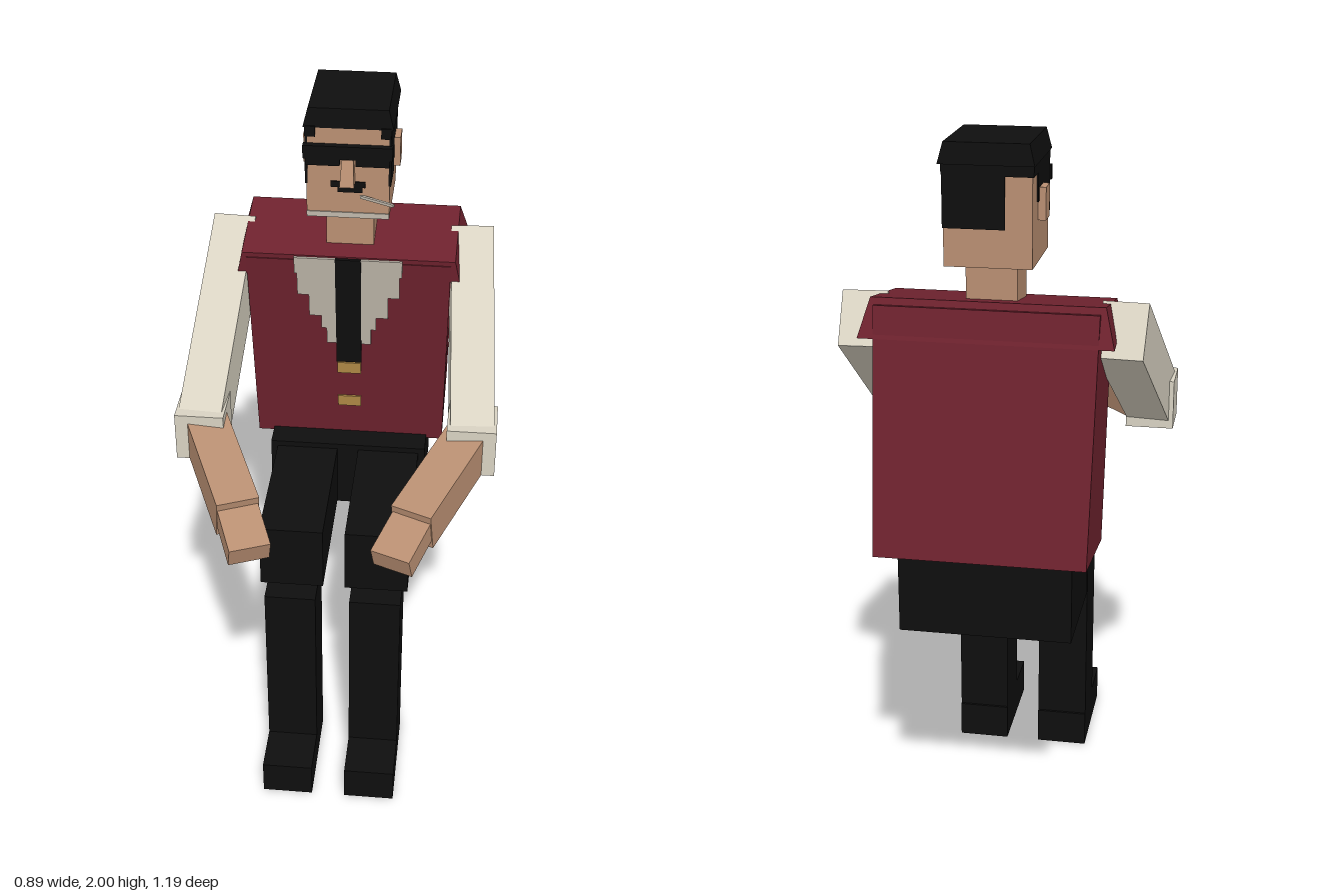
import * as THREE from 'three';

const mat = (name, color) => {
  const m = new THREE.MeshStandardMaterial({ color });
  m.name = name;
  return m;
};

export function createModel() {
  const red = mat('vestRed', 0x6e222e);
  const black = mat('black', 0x0e0e0e);
  const skin = mat('skin', 0xb98f72);
  const cream = mat('sleeveCream', 0xd8d2c2);
  const shirtGrey = mat('shirtGrey', 0xc0b8ab);
  const gold = mat('gold', 0xb58d48);

  const model = new THREE.Group();
  model.name = 'seatedFigure';

  const add = (name, geo, material, parent = model) => {
    const mesh = new THREE.Mesh(geo, material);
    mesh.name = name;
    parent.add(mesh);
    return mesh;
  };

  // Axis-aligned box given by its limits
  const block = (name, material, [x0, x1], [y0, y1], [z0, z1], parent) => {
    const mesh = add(name, new THREE.BoxGeometry(Math.abs(x1 - x0), y1 - y0, z1 - z0), material, parent);
    mesh.position.set((x0 + x1) / 2, (y0 + y1) / 2, (z0 + z1) / 2);
    return mesh;
  };

  // Tapered block: each edge is [half width, y, z]
  const wedge = (name, material, bottomFront, bottomBack, topFront, topBack) => {
    const geo = new THREE.BoxGeometry(2, 2, 2);
    const p = geo.attributes.position;
    for (let i = 0; i < p.count; i++) {
      const front = p.getZ(i) > 0;
      const edge = p.getY(i) > 0 ? (front ? topFront : topBack) : (front ? bottomFront : bottomBack);
      p.setXYZ(i, Math.sign(p.getX(i)) * edge[0], edge[1], edge[2]);
    }
    geo.computeVertexNormals();
    return add(name, geo, material);
  };

  // Box running between two points
  const limb = (name, material, from, to, width, height) => {
    const a = new THREE.Vector3(...from), b = new THREE.Vector3(...to);
    const mesh = add(name, new THREE.BoxGeometry(width, height, a.distanceTo(b)), material);
    mesh.position.copy(a).add(b).multiplyScalar(0.5);
    mesh.lookAt(b);
    return mesh;
  };

  // Torso and shoulder yoke, leaning back
  wedge('vest', red, [0.285, 0.88, -0.276], [0.285, 0.925, -0.594], [0.293, 1.535, -0.187], [0.295, 1.58, -0.476]);
  wedge('shoulderYoke', red, [0.32, 1.48, -0.196], [0.335, 1.495, -0.494], [0.305, 1.55, -0.188], [0.307, 1.595, -0.45]);

  // Shirt, tie and buttons on the sloping chest
  const chest = new THREE.Group();
  chest.name = 'chestDetails';
  chest.position.set(0, 1.545, -0.184);
  chest.rotation.x = Math.atan(0.1364);
  model.add(chest);
  const shirtSteps = [[0.155, 0, 0.055], [0.148, 0.055, 0.13], [0.115, 0.13, 0.205], [0.08, 0.205, 0.25], [0.065, 0.25, 0.305]];
  for (const s of [-1, 1]) {
    for (const [w, top, bottom] of shirtSteps) {
      block('shirtFront', shirtGrey, [s * 0.03, s * w], [-bottom, -top], [-0.004, 0.003], chest);
    }
  }
  block('tie', black, [-0.037, 0.037], [-0.375, 0], [-0.004, 0.005], chest);
  block('upperButton', gold, [-0.035, 0.035], [-0.42, -0.38], [-0.004, 0.004], chest);
  block('lowerButton', gold, [-0.035, 0.035], [-0.55, -0.512], [-0.004, 0.004], chest);

  // Hips
  block('hips', black, [-0.237, 0.237], [0.675, 0.893], [-0.515, -0.195]);

  for (const s of [-1, 1]) {
    // Legs
    block('thigh', black, [s * 0.032, s * 0.217], [0.677, 0.876], [-0.39, 0.225]);
    block('shin', black, [s * 0.05, s * 0.2], [0.1, 0.662], [0.105, 0.272]);
    block('shoe', black, [s * 0.05, s * 0.2], [0, 0.107], [0.098, 0.415]);

    // Arms
    limb('sleeve', cream, [s * 0.344, 1.52, -0.392], [s * 0.377, 1.172, 0.132], 0.122, 0.155);
    block('cuff', cream, [s * 0.31, s * 0.447], [1.097, 1.24], [0.065, 0.2]);
    limb('forearm', skin, [s * 0.377, 1.165, 0.13], [s * 0.235, 1.1, 0.455], 0.118, 0.115);
    limb('hand', skin, [s * 0.237, 1.105, 0.45], [s * 0.188, 1.062, 0.568], 0.113, 0.064);

    // Ears
    block('ear', skin, [s * 0.11, s * 0.136], [1.79, 1.875], [-0.352, -0.293]);

    // Hair on the sides of the head
    const side = [s * 0.112, s * 0.119];
    block('sideburn', black, side, [1.78, 1.95], [-0.29, -0.18]);
    block('sideHair', black, side, [1.87, 1.95], [-0.37, -0.29]);
    block('hairBehindEar', black, side, [1.84, 1.87], [-0.37, -0.35]);
    block('upperSideHair', black, side, [1.915, 1.95], [-0.437, -0.37]);
    block('templeHair', black, [s * 0.09, s * 0.117], [1.92, 1.95], [-0.184, -0.177]);
  }

  // Neck and head
  block('neck', skin, [-0.068, 0.068], [1.55, 1.69], [-0.385, -0.25]);
  block('head', skin, [-0.115, 0.115], [1.68, 1.955], [-0.435, -0.182]);
  block('backHair', black, [-0.045, 0.117], [1.78, 1.95], [-0.439, -0.432]);
  block('upperBackHair', black, [-0.117, -0.045], [1.915, 1.95], [-0.439, -0.432]);
  wedge('hairTop', black, [0.124, 1.945, -0.181], [0.124, 1.945, -0.457], [0.11, 2, -0.186], [0.11, 2, -0.448]);

  // Face
  wedge('nose', skin, [0.02, 1.79, -0.14], [0.02, 1.79, -0.185], [0.016, 1.86, -0.165], [0.016, 1.86, -0.185]);
  block('glassesBar', black, [-0.123, 0.123], [1.862, 1.9], [-0.185, -0.163]);
  for (const s of [-1, 1]) {
    block('lens', black, [s * 0.022, s * 0.115], [1.842, 1.865], [-0.185, -0.165]);
  }
  block('moustache', black, [-0.048, 0.048], [1.773, 1.79], [-0.184, -0.178]);
  block('mouth', black, [-0.028, 0.04], [1.758, 1.775], [-0.184, -0.178]);
  block('chinStrip', shirtGrey, [-0.115, 0.115], [1.68, 1.696], [-0.184, -0.179]);
  limb('toothpick', shirtGrey, [0.035, 1.745, -0.182], [0.13, 1.745, -0.135], 0.008, 0.008);

  return model;
}
